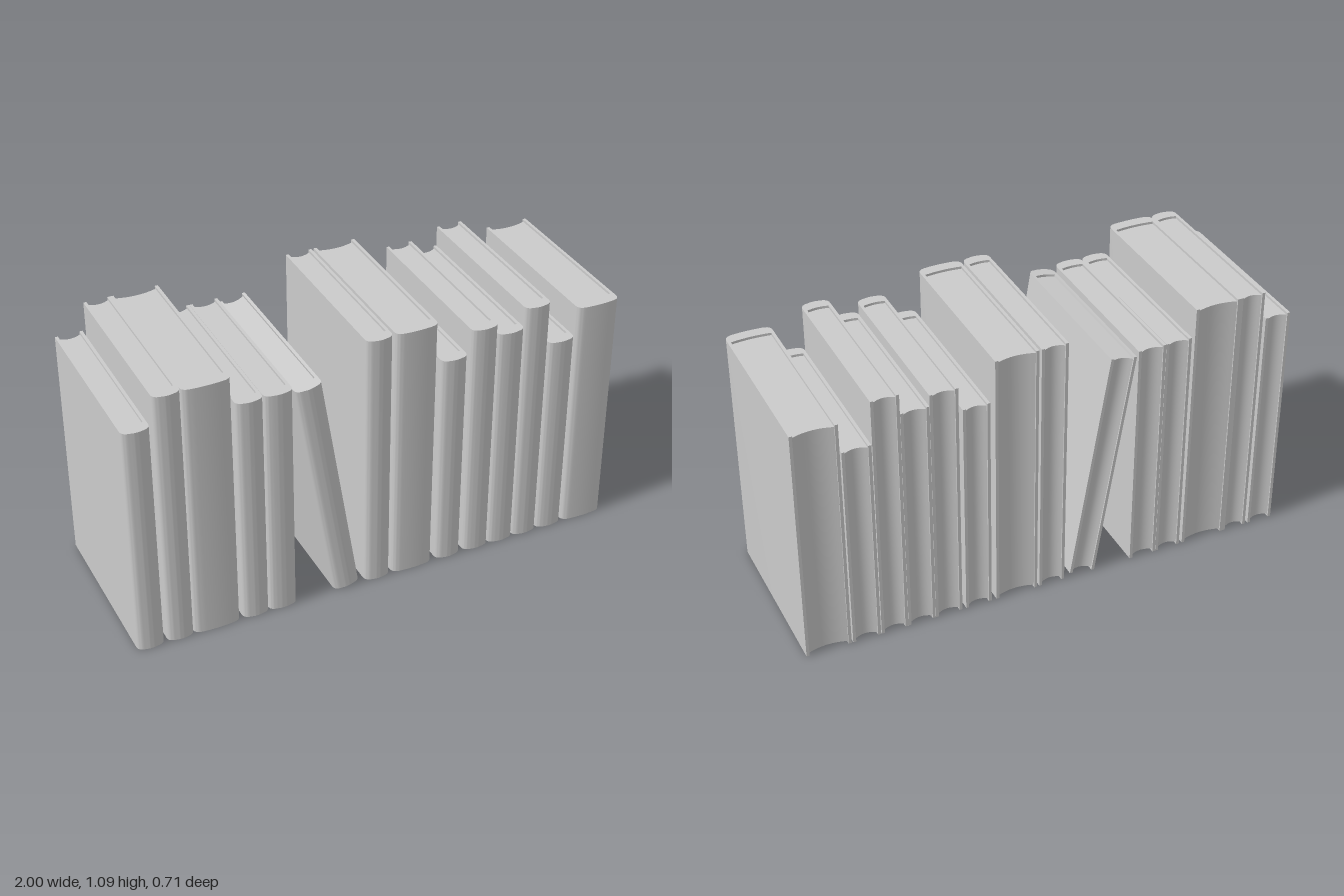
import * as THREE from 'three';
import { toCreasedNormals } from 'three/addons/utils/BufferGeometryUtils.js';

const material = new THREE.MeshStandardMaterial({ color: 0xcccccc });
const BACK = -0.355, FRONT = 0.353; // fore edge and spine depth
const BOARD = 0.012;                // cover thickness
const INSET = 0.01;                 // pages sit below the cover's top and bottom

// Outline in plan (shape y = -z), stood upright with its base at y = 0
function upright(shape, height) {
  const geometry = new THREE.ExtrudeGeometry(shape, { depth: height, bevelEnabled: false, curveSegments: 8 });
  geometry.rotateX(-Math.PI / 2);
  return toCreasedNormals(geometry, 0.6);
}

// Adds the rounded spine curve from the -x side to the +x side
function spineCurve(shape, half, front, radius) {
  const bulge = 0.006;
  shape.lineTo(-half, -(front - radius));
  shape.quadraticCurveTo(-half, -(front - bulge), -half + radius, -(front - bulge / 2));
  shape.quadraticCurveTo(0, -(front + bulge / 2), half - radius, -(front - bulge / 2));
  shape.quadraticCurveTo(half, -(front - bulge), half, -(front - radius));
}

function createBook(width, height) {
  const book = new THREE.Group();
  const half = width / 2, inner = half - BOARD, pageFront = 0.308;

  // U-shaped cover: two boards joined by a rounded spine
  const cover = new THREE.Shape();
  cover.moveTo(-half, -BACK);
  spineCurve(cover, half, FRONT, 0.032);
  cover.lineTo(half, -BACK);
  cover.lineTo(inner, -BACK);
  cover.lineTo(inner, -(pageFront - 0.006));
  cover.quadraticCurveTo(0, -(pageFront + 0.006), -inner, -(pageFront - 0.006));
  cover.lineTo(-inner, -BACK);
  const coverMesh = new THREE.Mesh(upright(cover, height), material);
  coverMesh.name = 'cover';

  // Page block with a hollow fore edge
  const pages = new THREE.Shape();
  pages.moveTo(-inner, -(BACK + 0.005));
  pages.lineTo(-inner, -(pageFront - 0.006));
  pages.quadraticCurveTo(0, -(pageFront + 0.006), inner, -(pageFront - 0.006));
  pages.lineTo(inner, -(BACK + 0.005));
  pages.quadraticCurveTo(0, -(BACK + 0.033), -inner, -(BACK + 0.005));
  const pageMesh = new THREE.Mesh(upright(pages, height - 2 * INSET), material);
  pageMesh.position.y = INSET;
  pageMesh.name = 'pages';

  book.add(coverMesh, pageMesh);
  return book;
}

export function createModel() {
  const model = new THREE.Group();
  model.name = 'bookRow';

  // Standing books: left edge, right edge, height
  const standing = [
    [-1, -0.893, 0.97], [-0.88, -0.775, 1.087], [-0.775, -0.588, 1.087],
    [-0.575, -0.468, 0.97], [-0.467, -0.353, 0.97],
    [-0.064, 0.043, 1.087], [0.053, 0.226, 1.087], [0.246, 0.353, 0.917],
    [0.369, 0.479, 1.016], [0.48, 0.591, 0.97], [0.592, 0.7, 1.053],
    [0.703, 0.815, 0.872], [0.821, 1, 0.995],
  ];
  standing.forEach(([x0, x1, height], i) => {
    const book = createBook(x1 - x0, height);
    book.position.x = (x0 + x1) / 2;
    book.name = `standingBook${i + 1}`;
    model.add(book);
  });

  // Book leaning towards -x in the gap
  const leaning = createBook(0.107, 0.962);
  leaning.rotation.z = THREE.MathUtils.degToRad(9);
  leaning.position.set(-0.142, 0.0085, 0);
  leaning.name = 'leaningBook';
  model.add(leaning);

  return model;
}
